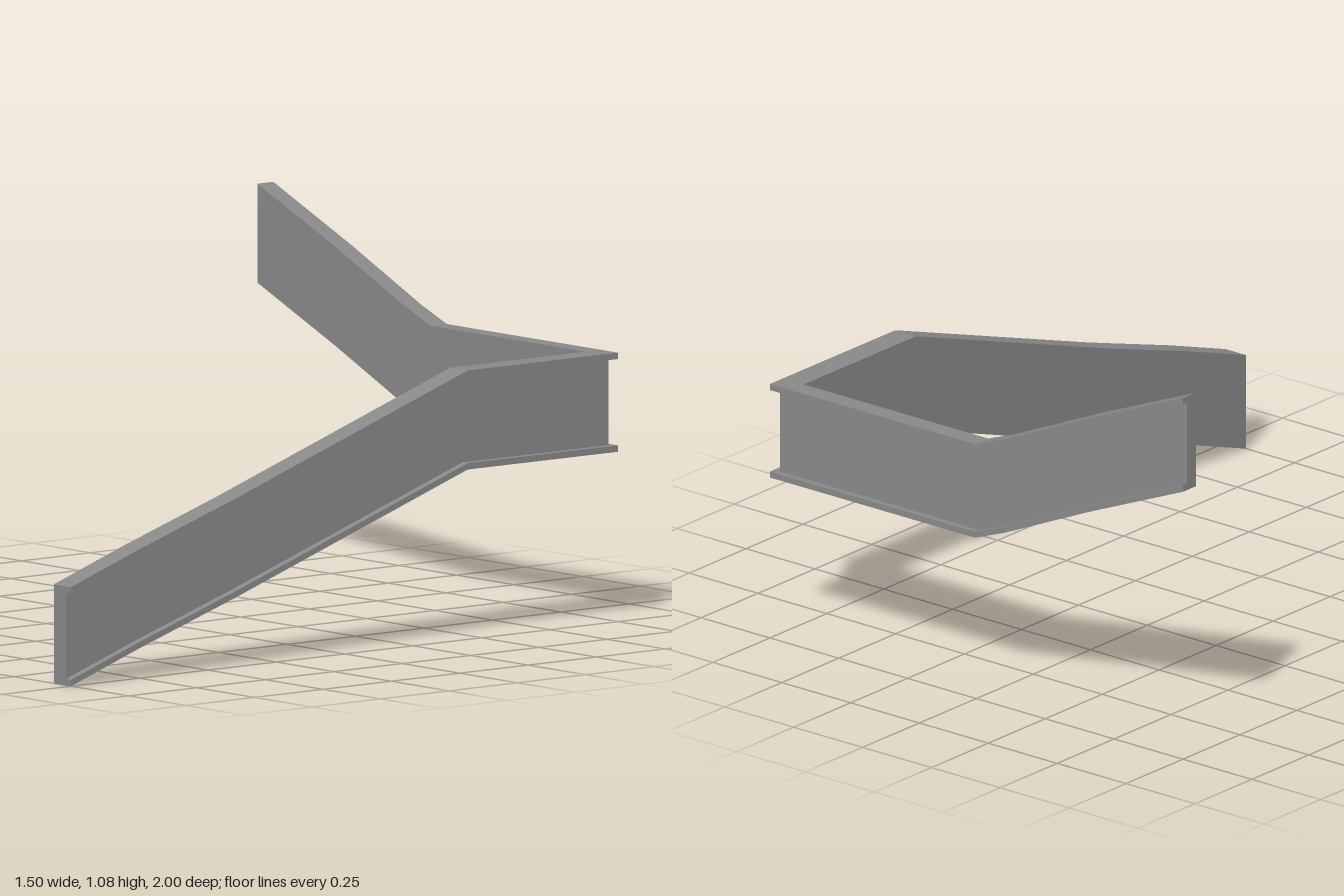
import * as THREE from 'three';

// Channel outline: u runs from the open outer side (0) to the inner side (1), v is height
const H = 0.28, FLANGE = 0.018, RECESS = 0.3;
const outline = [
  [0, 0], [1, 0], [1, H], [0, H],
  [0, H - FLANGE], [RECESS, H - FLANGE], [RECESS, FLANGE], [0, FLANGE],
].map(([u, v]) => new THREE.Vector2(u, v));

// Outer edge of the run: x, bottom height, z, then the inward offset in x and z
const SIDE = [-0.075, 0], CORNER = [-0.075, 0.058], BACK = [0, 0.058];
const stations = [
  [0.75, 0, 1, ...SIDE],
  [0.75, 0.086, 0.745, ...SIDE],
  [0.75, 0.195, 0.4, ...SIDE],
  [0.75, 0.48, -0.45, ...SIDE],
  [0.75, 0.48, -1, ...CORNER],
  [0.005, 0.48, -1, ...BACK],
  [-0.105, 0.522, -1, ...BACK],
  [-0.41, 0.658, -1, ...BACK],
  [-0.75, 0.8, -1, ...BACK],
];

// Sweeps the outline through the stations with a mitred corner and closed ends
function channelGeometry() {
  const rings = stations.map(([x, y, z, dx, dz]) =>
    outline.map((p) => [x + p.x * dx, y + p.y, z + p.x * dz]));
  const pos = [];
  const tri = (a, b, c) => pos.push(...a, ...b, ...c);
  const n = outline.length;
  for (let i = 0; i < rings.length - 1; i++) {
    for (let j = 0; j < n; j++) {
      const k = (j + 1) % n;
      const a = rings[i][j], b = rings[i][k], c = rings[i + 1][k], d = rings[i + 1][j];
      tri(a, b, c);
      tri(a, c, d);
    }
  }
  const first = rings[0], last = rings[rings.length - 1];
  for (const [a, b, c] of THREE.ShapeUtils.triangulateShape(outline, [])) {
    tri(first[c], first[b], first[a]);
    tri(last[a], last[b], last[c]);
  }
  const geometry = new THREE.BufferGeometry();
  geometry.setAttribute('position', new THREE.Float32BufferAttribute(pos, 3));
  geometry.computeVertexNormals();
  return geometry;
}

export function createModel() {
  const steel = new THREE.MeshStandardMaterial({ color: 0x888888 });
  steel.name = 'grey steel';

  // Continuous stair stringer: lower flight, corner landing, upper flight
  const stringer = new THREE.Mesh(channelGeometry(), steel);
  stringer.name = 'stairStringer';

  const model = new THREE.Group();
  model.name = 'cornerStairStringer';
  model.add(stringer);
  return model;
}
